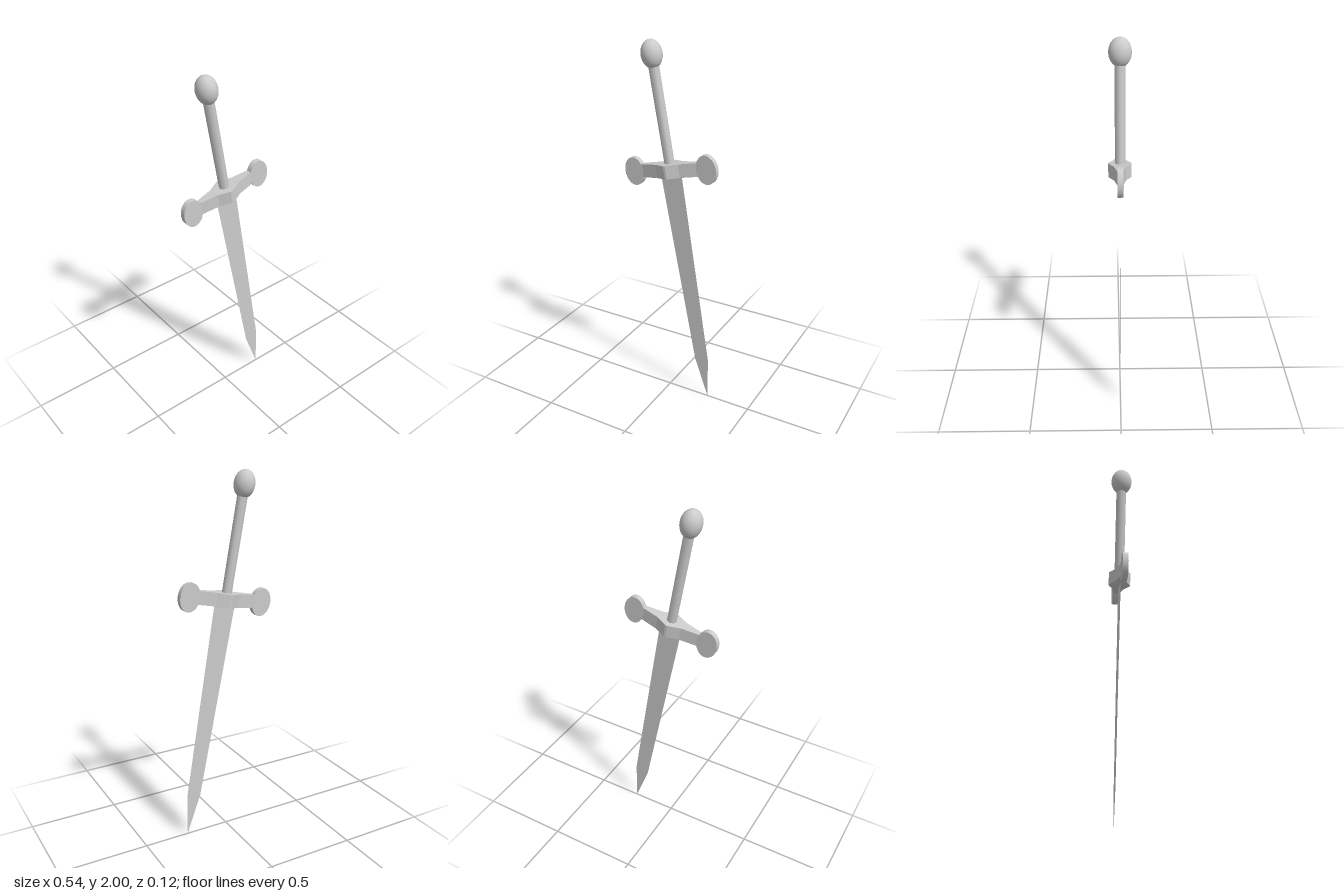
import * as THREE from 'three';

export function createModel() {
  const model = new THREE.Group();
  const mat = new THREE.MeshStandardMaterial({ color: 0xcccccc });
  const thin = new THREE.MeshStandardMaterial({ color: 0xcccccc, side: THREE.DoubleSide });

  // The whole sword leans about the centre of its guard
  const sword = new THREE.Group();
  sword.name = 'sword';
  sword.position.set(0, 1.342, 0);
  sword.rotation.z = 0.182;
  model.add(sword);

  function add(name, geometry, material, x = 0, y = 0, z = 0) {
    const mesh = new THREE.Mesh(geometry, material);
    mesh.name = name;
    mesh.position.set(x, y, z);
    sword.add(mesh);
    return mesh;
  }

  // Closed shape from one half of a symmetric outline
  function mirrored(half) {
    const other = half.map(([x, y]) => [-x, y]).reverse();
    return new THREE.Shape([...half, ...other].map(([x, y]) => new THREE.Vector2(x, y)));
  }

  // Paper-thin blade, tapering to a point
  const blade = new THREE.Shape([
    [-0.062, -0.02], [-0.041, -1.126], [0, -1.364], [0.041, -1.126], [0.062, -0.02],
  ].map(([x, y]) => new THREE.Vector2(x, y)));
  add('blade', new THREE.ShapeGeometry(blade), thin);

  // Crossguard bar: wide in the middle, narrowing to both ends
  const plan = mirrored([
    [0.006, -0.06], [0.068, -0.031], [0.165, -0.0135],
    [0.165, 0.0135], [0.068, 0.031], [0.006, 0.06],
  ]);
  const bar = new THREE.ExtrudeGeometry(plan, { depth: 0.072, bevelEnabled: false });
  bar.translate(0, 0, -0.036).rotateX(-Math.PI / 2);
  add('crossguard', bar, mat);

  // Oval discs at the ends of the guard
  for (const [name, side] of [['leftGuardDisc', 1], ['rightGuardDisc', -1]]) {
    const disc = new THREE.CylinderGeometry(1, 1, 0.03, 32);
    disc.rotateX(Math.PI / 2).scale(0.057, 0.077, 1);
    add(name, disc, mat, side * 0.216, -0.002);
  }

  // Grip
  add('grip', new THREE.CylinderGeometry(0.028, 0.027, 0.53, 8), mat, 0, 0.295, -0.002);

  // Egg-shaped pommel
  const pommel = new THREE.SphereGeometry(1, 32, 20);
  pommel.scale(0.054, 0.073, 0.058);
  add('pommel', pommel, mat, 0, 0.595, -0.002);

  return model;
}
